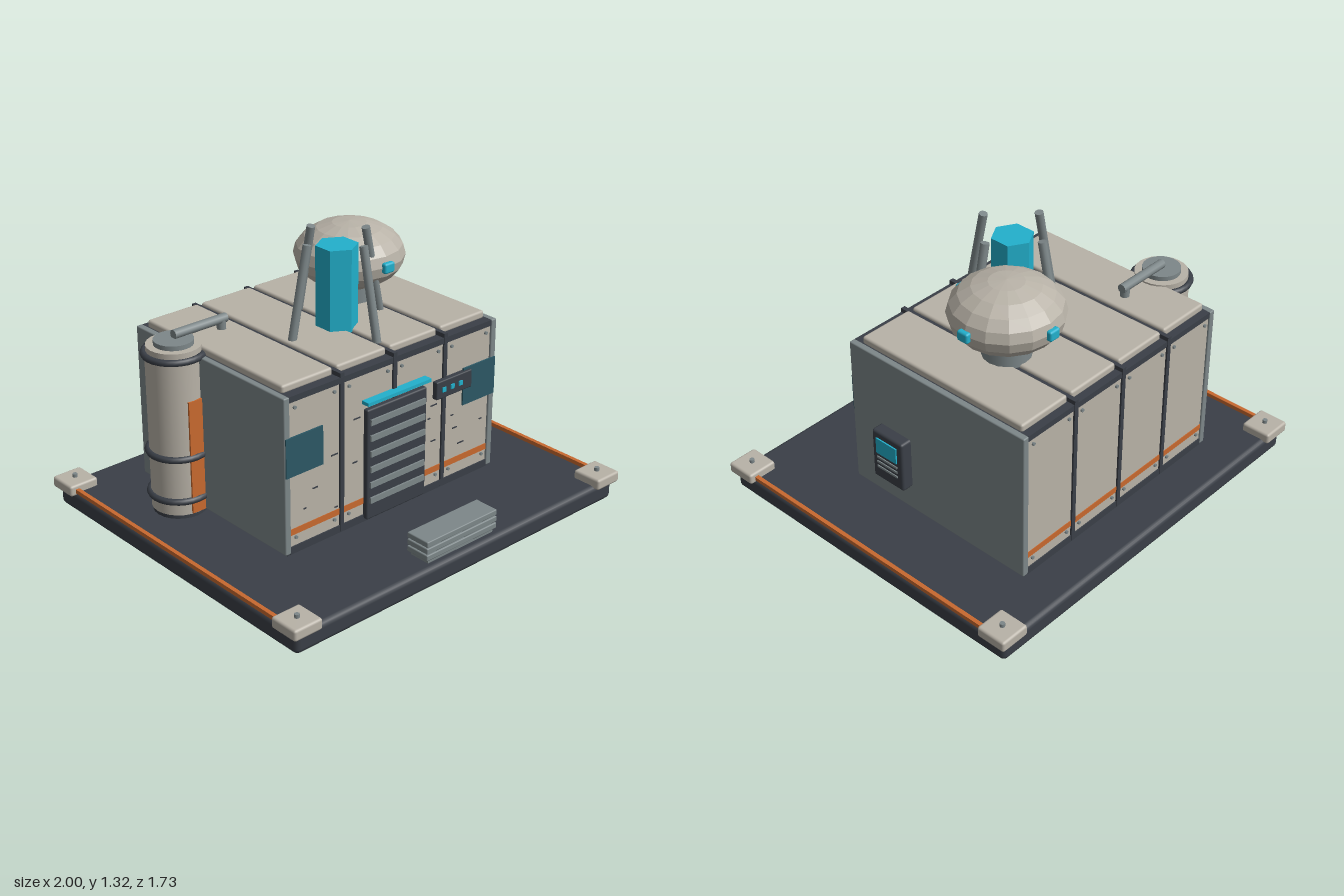
import * as THREE from 'three';
import { RoundedBoxGeometry } from 'three/addons/geometries/RoundedBoxGeometry.js';

const paint = (name, color) => {
  const m = new THREE.MeshStandardMaterial({ color });
  m.name = name;
  return m;
};

export function createModel() {
  const cream = paint('cream panel', 0xb8b2a7);
  const grey = paint('steel grey', 0x7d8789);
  const dark = paint('dark metal', 0x3a3f47);
  const cyan = paint('cyan glow', 0x22b0cc);
  const orange = paint('orange trim', 0xc8692f);
  const glass = paint('dark teal glass', 0x2c5865);

  const model = new THREE.Group();
  model.name = 'outpost';

  const group = (name) => {
    const g = new THREE.Group();
    g.name = name;
    model.add(g);
    return g;
  };
  const add = (parent, name, geo, mat, x = 0, y = 0, z = 0) => {
    const m = new THREE.Mesh(geo, mat);
    m.name = name;
    m.position.set(x, y, z);
    parent.add(m);
    return m;
  };
  // Box given by its limits on each axis; r rounds the edges
  const box = (parent, name, mat, [x0, x1], [y0, y1], [z0, z1], r = 0) => {
    const s = [x1 - x0, y1 - y0, z1 - z0];
    const geo = r ? new RoundedBoxGeometry(...s, 2, r) : new THREE.BoxGeometry(...s);
    return add(parent, name, geo, mat, (x0 + x1) / 2, (y0 + y1) / 2, (z0 + z1) / 2);
  };
  // Cylinder between two points
  const rod = (parent, name, mat, a, b, r, sides = 10) => {
    const p = new THREE.Vector3(...a), q = new THREE.Vector3(...b);
    const d = q.clone().sub(p);
    const m = add(parent, name, new THREE.CylinderGeometry(r, r, d.length(), sides), mat);
    m.position.copy(p).add(q).multiplyScalar(0.5);
    m.quaternion.setFromUnitVectors(new THREE.Vector3(0, 1, 0), d.normalize());
    return m;
  };

  // Base slab, corner pads and side rails
  const base = group('base');
  box(base, 'slab', dark, [-0.975, 0.975], [0, 0.1], [-0.845, 0.845], 0.025);
  for (const sx of [-1, 1]) {
    box(base, 'sideRail', orange, [sx * 0.963 - 0.01, sx * 0.963 + 0.01], [0.1, 0.12], [-0.73, 0.73]);
    for (const sz of [-1, 1]) {
      box(base, 'cornerPad', cream, [sx * 0.925 - 0.075, sx * 0.925 + 0.075], [0.086, 0.14],
        [sz * 0.79 - 0.075, sz * 0.79 + 0.075], 0.012);
      add(base, 'padBolt', new THREE.CylinderGeometry(0.012, 0.012, 0.02, 8), grey, sx * 0.925, 0.147, sz * 0.79);
    }
  }

  // Building core, side walls and frame
  const building = group('building');
  box(building, 'core', dark, [-0.61, 0.61], [0.1, 0.866], [-0.625, 0.36]);
  for (const s of [-1, 1]) {
    box(building, 'sideWall', grey, [s * 0.62 - 0.016, s * 0.62 + 0.016], [0.12, 0.867], [-0.645, 0.382], 0.006);
  }
  for (const z of [-0.63, 0.367]) {
    box(building, 'lowerBeam', dark, [-0.605, 0.605], [0.115, 0.15], [z - 0.012, z + 0.012]);
    box(building, 'upperBeam', dark, [-0.605, 0.605], [0.838, 0.866], [z - 0.012, z + 0.012]);
  }
  for (const x of [-0.31, 0, 0.31]) {
    box(building, 'frontRib', dark, [x - 0.011, x + 0.011], [0.12, 0.866], [0.35, 0.381]);
    box(building, 'backRib', dark, [x - 0.011, x + 0.011], [0.12, 0.866], [-0.645, -0.62]);
    box(building, 'roofRib', dark, [x - 0.011, x + 0.011], [0.86, 0.886], [-0.645, 0.38]);
  }

  // Four bays: wall panels, stripes, bolts and roof panels
  const bays = [[-0.603, -0.322], [-0.298, -0.012], [0.012, 0.298], [0.322, 0.603]];
  for (const [x0, x1] of bays) {
    box(building, 'roofPanel', cream, [x0, x1], [0.86, 0.9], [-0.605, 0.333], 0.012);
    for (const [z, s] of [[0.373, 1], [-0.637, -1]]) {
      box(building, 'wallPanel', cream, [x0, x1], [0.15, 0.838], s > 0 ? [0.35, z] : [z, -0.61]);
      box(building, 'stripe', orange, [x0, x1], [0.205, 0.235], [z - 0.003, z + 0.003]);
      for (const x of [x0 + 0.03, x1 - 0.03]) for (const y of [0.19, 0.81]) {
        const bolt = add(building, 'panelBolt', new THREE.CylinderGeometry(0.008, 0.008, 0.012, 8), grey, x, y, z + s * 0.003);
        bolt.rotation.x = Math.PI / 2;
      }
    }
  }

  // Small scuffs on the front panels
  const scuffs = [[-0.52, 0.31], [-0.46, 0.39], [-0.35, 0.51], [-0.34, 0.25], [-0.23, 0.43], [-0.22, 0.64],
    [0.22, 0.49], [0.25, 0.37], [0.25, 0.55], [0.37, 0.46], [0.39, 0.39], [0.43, 0.3], [0.56, 0.38]];
  scuffs.forEach(([x, y], i) => {
    const w = 0.008 + (i % 3) * 0.006;
    box(building, 'scuff', dark, [x - w, x + w], [y - 0.003, y + 0.003], [0.372, 0.376]);
  });

  // Corner windows
  for (const s of [-1, 1]) {
    box(building, 'window', glass, [s * 0.528 - 0.103, s * 0.528 + 0.103], [0.495, 0.68], [0.379, 0.387]);
  }

  // Shutter door with slats and light bar
  const door = group('shutterDoor');
  box(door, 'doorFrame', dark, [-0.18, 0.18], [0.13, 0.672], [0.37, 0.4], 0.008);
  for (let i = 0; i < 6; i++) {
    const y = 0.61 - i * 0.077;
    box(door, 'slat', grey, [-0.165, 0.165], [y - 0.014, y + 0.014], [0.39, 0.409]);
  }
  box(door, 'lightBar', cyan, [-0.19, 0.19], [0.699, 0.715], [0.37, 0.415]);

  // Front step stack
  const steps = group('steps');
  for (let i = 0; i < 3; i++) {
    const y = 0.118 + i * 0.033;
    box(steps, 'step', grey, [-0.215, 0.215], [y, y + 0.028], [0.69, 0.815], 0.005);
  }
  box(steps, 'stepCore', grey, [-0.2, 0.2], [0.095, 0.2], [0.7, 0.805]);

  // Front indicator box
  const indicator = group('indicatorBox');
  box(indicator, 'indicatorHousing', dark, [0.242, 0.467], [0.582, 0.67], [0.37, 0.4], 0.006);
  for (const x of [0.285, 0.338, 0.39]) {
    box(indicator, 'indicatorLight', cyan, [x - 0.011, x + 0.011], [0.615, 0.637], [0.398, 0.406]);
  }

  // Control terminal on the left side wall
  const terminal = group('terminal');
  box(terminal, 'terminalHousing', dark, [0.625, 0.692], [0.25, 0.51], [0.02, 0.208], 0.012);
  box(terminal, 'screen', cyan, [0.69, 0.699], [0.395, 0.477], [0.053, 0.178]);
  for (const y of [0.318, 0.344, 0.37]) {
    box(terminal, 'vent', grey, [0.69, 0.697], [y - 0.005, y + 0.005], [0.053, 0.178]);
  }

  // Storage tank with bands, cap and pipe
  const tank = group('tank');
  const tx = -0.68, tz = -0.305;
  const disc = (name, mat, r, y0, y1) =>
    add(tank, name, new THREE.CylinderGeometry(r, r, y1 - y0, 24), mat, tx, (y0 + y1) / 2, tz);
  disc('tankFoot', dark, 0.125, 0.09, 0.125);
  disc('tankBody', cream, 0.13, 0.12, 0.88);
  disc('tankCap', cream, 0.125, 0.87, 0.908);
  disc('tankLid', grey, 0.09, 0.9, 0.93);
  for (const y of [0.19, 0.4, 0.87]) {
    const band = add(tank, 'tankBand', new THREE.TorusGeometry(0.134, 0.016, 8, 28), dark, tx, y, tz);
    band.rotation.x = Math.PI / 2;
  }
  box(tank, 'tankStripe', orange, [-0.71, -0.638], [0.125, 0.675], [-0.19, -0.17]);
  rod(tank, 'pipe', grey, [tx, 0.947, tz], [-0.39, 0.947, tz], 0.022);
  rod(tank, 'pipeDrop', grey, [-0.415, 0.89, tz], [-0.415, 0.945, tz], 0.022);

  // Faceted dome on a pedestal with marker lights
  const dome = group('dome');
  const [dx, dy, dz] = [0.265, 1.115, -0.21];
  add(dome, 'pedestal', new THREE.CylinderGeometry(0.112, 0.112, 0.12, 16), grey, dx, 0.95, dz);
  const shell = new THREE.SphereGeometry(0.26, 16, 10).scale(1, 0.6, 1).toNonIndexed();
  shell.computeVertexNormals();
  add(dome, 'domeShell', shell, cream, dx, dy, dz);
  for (const [ox, oz] of [[0, 1], [1, 0], [0, -1]]) {
    const light = add(dome, 'domeLight', new RoundedBoxGeometry(0.06, 0.05, 0.03, 2, 0.01), cyan,
      dx + ox * 0.26, dy, dz + oz * 0.26);
    light.rotation.y = Math.atan2(ox, oz);
  }

  // Crystal column and four leaning struts
  const beacon = group('beacon');
  const column = new THREE.CylinderGeometry(0.097, 0.097, 0.39, 6).toNonIndexed();
  column.computeVertexNormals();
  add(beacon, 'crystal', column, cyan, 0, 1.085, 0);
  for (const [ox, oz] of [[1, 0], [-1, 0], [0, 1], [0, -1]]) {
    rod(beacon, 'strut', grey, [ox * 0.262, 0.895, oz * 0.262], [ox * 0.172, 1.318, oz * 0.172], 0.02);
  }

  return model;
}
